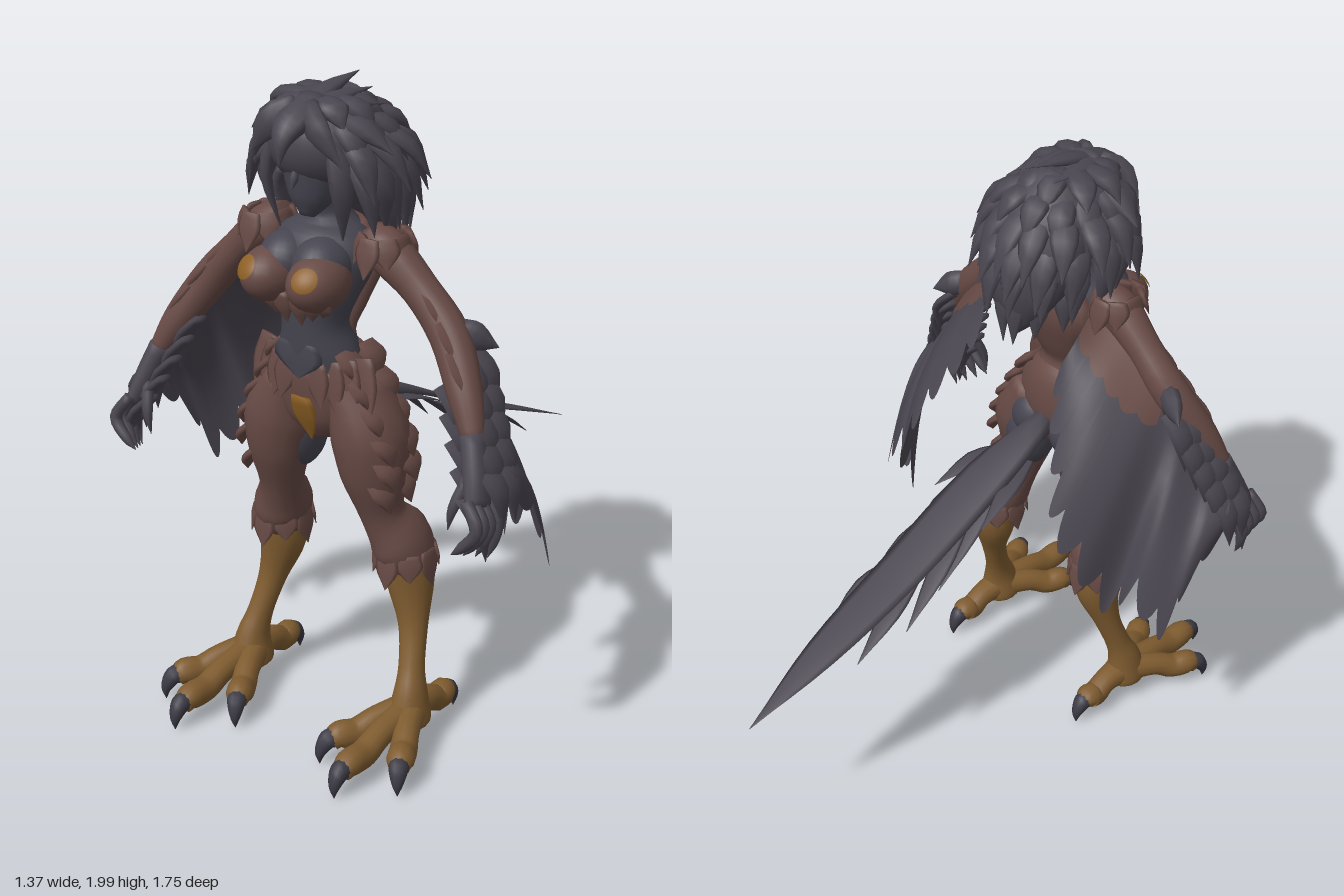
import * as THREE from 'three';
import { mergeGeometries } from 'three/addons/utils/BufferGeometryUtils.js';

const V = (x, y, z) => new THREE.Vector3(x, y, z);
const X = V(1, 0, 0);
const mat = (name, color, side = THREE.FrontSide) => new THREE.MeshStandardMaterial({ name, color, side });

// Smooth closed body through elliptical sections [x, y, z, a, b]; a lies along `side`
function sweep(pts, side = X, segs = 16, sub = 4) {
  const cen = new THREE.CatmullRomCurve3(pts.map(p => V(p[0], p[1], p[2])), false, 'catmullrom');
  const rad = new THREE.CatmullRomCurve3(pts.map(p => V(p[3], p[4] ?? p[3], 0)), false, 'catmullrom');
  const n = (pts.length - 1) * sub, pos = [], idx = [];
  for (let i = 0; i <= n; i++) {
    const c = cen.getPoint(i / n), r = rad.getPoint(i / n), T = cen.getTangent(i / n);
    const S = side.clone().addScaledVector(T, -side.dot(T)).normalize();
    const N = T.clone().cross(S);
    for (let j = 0; j < segs; j++) {
      const q = j / segs * Math.PI * 2;
      pos.push(...c.clone().addScaledVector(S, Math.max(r.x, 0.001) * Math.cos(q))
        .addScaledVector(N, Math.max(r.y, 0.001) * Math.sin(q)).toArray());
    }
  }
  pos.push(...cen.getPoint(0).toArray(), ...cen.getPoint(1).toArray());
  const c0 = (n + 1) * segs;
  for (let j = 0; j < segs; j++) {
    const k = (j + 1) % segs;
    for (let i = 0; i < n; i++) {
      const a = i * segs + j, b = i * segs + k;
      idx.push(a, b, a + segs, b, b + segs, a + segs);
    }
    idx.push(c0, k, j, c0 + 1, n * segs + j, n * segs + k);
  }
  const g = new THREE.BufferGeometry();
  g.setAttribute('position', new THREE.Float32BufferAttribute(pos, 3));
  g.setIndex(idx);
  g.computeVertexNormals();
  return g;
}

// Pointed feather from base to tip, bowed by an offset at its middle
function feather(base, tip, w, side = X, thick = 0.008, bow = V(0, 0, 0)) {
  const m = base.clone().lerp(tip, 0.45).add(bow);
  return sweep([[...base.toArray(), w * 0.8, thick], [...m.toArray(), w, thick], [...tip.toArray(), 0, 0]], side, 8, 3);
}

// Ring of feathers hanging from an ellipse
function fringe(cx, cy, cz, rx, rz, len, n, flare, w, thick) {
  return Array.from({ length: n }, (_, i) => {
    const q = i / n * Math.PI * 2, c = Math.cos(q), s = Math.sin(q), l = len * (i % 2 ? 0.75 : 1);
    return feather(V(cx + rx * c, cy, cz + rz * s), V(cx + (rx + flare) * c, cy - l, cz + (rz + flare) * s),
      w, V(-s * rz, 0, c * rx).normalize(), thick);
  });
}

function ball(x, y, z, rx, ry, rz) {
  return new THREE.SphereGeometry(1, 24, 16).scale(rx, ry, rz).translate(x, y, z);
}

// Curved sheet between two guide curves; edge(u) sets how far each column reaches
function sheet(A, B, u0, u1, edge, lift, cols, rows = 10) {
  const pos = [], idx = [], out = V(Math.sign(A.points[0].x) * 0.6, 0.4, -0.6);
  for (let i = 0; i <= cols; i++) for (let j = 0; j <= rows; j++) {
    const f = i / cols, u = u0 + (u1 - u0) * f, v = j / rows * edge(f);
    const p = A.getPoint(u).lerp(B.getPoint(u), v).addScaledVector(out, 0.05 * Math.sin(Math.PI * Math.min(v, 1)) + lift);
    pos.push(p.x, p.y, p.z);
    if (i < cols && j < rows) {
      const a = i * (rows + 1) + j, b = a + rows + 1;
      idx.push(a, b, a + 1, b, b + 1, a + 1);
    }
  }
  const g = new THREE.BufferGeometry();
  g.setAttribute('position', new THREE.Float32BufferAttribute(pos, 3));
  g.setIndex(idx);
  g.computeVertexNormals();
  return g;
}

export function createModel() {
  const model = new THREE.Group();
  model.name = 'birdCreature';
  const plume = mat('darkPlumage', 0x4a4650), wingMat = mat('wingPlumage', 0x4a4650, THREE.DoubleSide);
  const skin = mat('greySkin', 0x464550), brown = mat('brownDown', 0x674a45);
  const covert = mat('brownCoverts', 0x674a45, THREE.DoubleSide);
  const gold = mat('ochreSkin', 0x7f5c30), amber = mat('amberPatch', 0x8c5f24), claw = mat('clawGrey', 0x3c3a45);
  const add = (name, m, geos) => {
    const list = [].concat(geos).map(g => { g.deleteAttribute('uv'); return g; });
    const mesh = new THREE.Mesh(mergeGeometries(list), m);
    mesh.name = name;
    model.add(mesh);
  };

  // Torso, neck and head
  add('chestAndWaist', skin, sweep([[0, 1.16, 0.49, 0.15, 0.1], [0, 1.24, 0.51, 0.125, 0.1], [0, 1.32, 0.52, 0.1, 0.095],
    [0, 1.41, 0.51, 0.13, 0.11], [0, 1.5, 0.48, 0.16, 0.125], [0, 1.57, 0.46, 0.14, 0.11], [0, 1.63, 0.46, 0.065, 0.065], [0, 1.72, 0.49, 0.055, 0.055]]));
  add('pelvis', brown, sweep([[0, 0.96, 0.48, 0.06, 0.07], [0, 1.03, 0.48, 0.15, 0.105], [0, 1.12, 0.48, 0.18, 0.118], [0, 1.2, 0.49, 0.157, 0.112], [0, 1.23, 0.5, 0.11, 0.08]]));
  add('backDown', brown, sweep([[0, 1.6, 0.42, 0.1, 0.05], [0, 1.5, 0.4, 0.155, 0.065], [0, 1.38, 0.43, 0.12, 0.06], [0, 1.28, 0.46, 0.09, 0.05], [0, 1.18, 0.44, 0.12, 0.06]]));
  add('face', skin, sweep([[0, 1.63, 0.545, 0.02, 0.02], [0, 1.68, 0.53, 0.065, 0.06], [0, 1.76, 0.51, 0.09, 0.09], [0, 1.86, 0.5, 0.09, 0.09]]));
  add('nose', skin, feather(V(0, 1.77, 0.59), V(0, 1.72, 0.615), 0.012, X, 0.012));
  add('waistPoint', skin, feather(V(0, 1.27, 0.602), V(0, 1.16, 0.605), 0.085, X, 0.006));
  add('loinShield', amber, feather(V(0, 1.1, 0.598), V(0, 0.95, 0.55), 0.045, X, 0.012));

  // Swept mane: a core volume with rows of long ragged locks
  add('maneCore', plume, [ball(0, 1.835, 0.46, 0.165, 0.14, 0.16),
    sweep([[0, 1.92, 0.44, 0.1, 0.1], [0, 1.8, 0.36, 0.18, 0.14], [0, 1.66, 0.28, 0.16, 0.11], [0, 1.54, 0.25, 0.09, 0.06], [0, 1.46, 0.24, 0.01, 0.01]])]);
  const locks = [];
  const rows = [[1.95, 1.87, 0.05, 0.18, 0.9, 8, 2.4], [1.91, 1.79, 0.1, 0.23, 0.88, 10, 2.1], [1.87, 1.7, 0.13, 0.255, 0.96, 11, 2.0],
    [1.81, 1.62, 0.145, 0.24, 1, 10, 1.9], [1.74, 1.54, 0.15, 0.2, 1, 8, 1.5], [1.66, 1.46, 0.11, 0.13, 1, 6, 1.0]];
  rows.forEach(([y0, y1, r0, r1, depth, n, span], k) => {
    for (let i = 0; i < n; i++) {
      const q = (i / (n - 1) * 2 - 1) * span, s = Math.sin(q), c = Math.cos(q);
      const jit = Math.sin(i * 7.3 + k * 2.9) * 0.03, back = Math.max(c, 0) * (0.01 + k * 0.018);
      locks.push(feather(V(s * r0, y0, 0.46 - c * r0 - back), V(s * (r1 + jit), y1 + jit, 0.43 - c * r1 * depth - back),
        0.042, V(c, 0, s), 0.02, V(s * 0.025, 0.02, -c * 0.025)));
    }
  });
  for (let i = -2; i <= 2; i++)
    locks.push(feather(V(i * 0.035, 1.935, 0.56), V(i * 0.06, 1.995 - Math.abs(i) * 0.035, 0.3 + Math.abs(i) * 0.02), 0.035, X, 0.018, V(0, 0.01, 0)));
  for (const s of [-1, 1]) {
    locks.push(feather(V(s * 0.1, 1.87, 0.55), V(s * 0.11, 1.57, 0.53), 0.035, V(0.6, 0, -s * 0.8), 0.018, V(s * 0.03, 0, 0.02)));
    locks.push(feather(V(s * 0.14, 1.85, 0.5), V(s * 0.2, 1.6, 0.45), 0.045, V(0.4, 0, -s), 0.025, V(s * 0.04, 0, 0)));
    locks.push(feather(V(s * 0.02, 1.94, 0.55), V(s * 0.16, 1.8, 0.59), 0.045, V(s * 0.4, 1, 0), 0.025, V(0, 0.02, 0.03)));
    locks.push(feather(V(s * 0.09, 1.91, 0.5), V(s * 0.25, 1.83, 0.48), 0.05, V(0, 0, 1), 0.025, V(0, 0.015, 0)));
  }
  add('maneLocks', plume, locks);
  add('hookedForelock', plume, sweep([[0, 1.95, 0.5, 0.06, 0.03], [0, 1.91, 0.6, 0.055, 0.035], [0, 1.865, 0.65, 0.03, 0.022], [0, 1.8, 0.663, 0.002, 0.002]], X, 10));

  // Tail: a long central blade with staggered drooping barbs
  const blade = [[0, 1.06, 0.38, 0.04, 0.04], [0, 0.97, 0.12, 0.085, 0.014], [0, 0.79, -0.25, 0.085, 0.006], [0, 0.65, -0.58, 0.062, 0.005], [0, 0.52, -0.87, 0, 0]];
  const barbs = [[0.135, 0.91, 0.02, 0.99, 0.25], [0.11, 0.74, -0.14, 0.95, 0.1], [0.125, 0.67, -0.29, 0.87, -0.04], [0.1, 0.63, -0.47, 0.78, -0.24]];
  add('tail', plume, [sweep(blade, X, 8), ...barbs.flatMap(([x, y, z, y0, z0]) => [-1, 1].map(s =>
    feather(V(s * 0.045, y0, z0), V(s * x, y, z - (s < 0 ? 0.05 : 0)), 0.036, X, 0.004, V(s * 0.008, 0.015, 0))))]);

  for (const s of [-1, 1]) {
    const side = s > 0 ? 'left' : 'right';
    const P = pts => pts.map(([x, ...r]) => [s * x, ...r]);
    const W = (x, y, z) => V(s * x, y, z);
    const crv = pts => new THREE.CatmullRomCurve3(pts.map(p => W(...p)));

    // Breast with grey upper slope, amber patch and ragged lower edge
    add(side + 'UpperBreast', skin, ball(s * 0.06, 1.5, 0.555, 0.085, 0.085, 0.1));
    add(side + 'Breast', brown, [ball(s * 0.083, 1.467, 0.605, 0.083, 0.082, 0.108),
      ...[0.03, 0.075, 0.12].map((x, i) => feather(W(x, 1.43, 0.64), W(x * 0.85, 1.33 + i * 0.02, 0.615), 0.032, X, 0.014))]);
    add(side + 'BreastPatch', amber, new THREE.SphereGeometry(1, 20, 6, 0, Math.PI * 2, 0, 0.42)
      .rotateX(1.12).rotateY(s * 0.28).scale(0.091, 0.086, 0.113).translate(s * 0.083, 1.467, 0.605));

    // Grey rump and inner thigh, feathered outer thigh
    add(side + 'RumpAndInnerThigh', skin, [ball(s * 0.085, 1.03, 0.44, 0.09, 0.095, 0.092), ball(s * 0.122, 0.94, 0.45, 0.078, 0.14, 0.1)]);
    add(side + 'Thigh', brown, sweep(P([[0.11, 1.13, 0.48, 0.08, 0.1], [0.16, 0.99, 0.48, 0.115, 0.12], [0.175, 0.87, 0.485, 0.098, 0.1],
      [0.19, 0.74, 0.465, 0.068, 0.07], [0.222, 0.65, 0.425, 0.085, 0.1], [0.238, 0.58, 0.405, 0.084, 0.094]])));
    const tufts = fringe(s * 0.235, 0.62, 0.41, 0.08, 0.09, 0.11, 8, 0.016, 0.04, 0.007);
    for (let i = 0; i < 6; i++) {
      const y = 1.24 - i * 0.075, x = [0.105, 0.15, 0.19, 0.22, 0.23, 0.21][i];
      for (const z of [0.43, 0.53])
        tufts.push(feather(W(x, y, z), W(x + 0.06, y - 0.09, z), 0.05, V(0, 0, 1), 0.014, W(0.014, 0.004, 0)));
    }
    for (let i = 0; i < 4; i++)
      tufts.push(feather(W(0.05 + i * 0.04, 1.21 + i * 0.008, 0.587 - i * 0.022), W(0.075 + i * 0.045, 1.08 - i * 0.015, 0.6 - i * 0.015), 0.04, X, 0.008));
    add(side + 'LegDown', brown, tufts);

    // Scaly shin and four clawed toes
    const foot = [sweep(P([[0.24, 0.61, 0.405, 0.07, 0.08], [0.245, 0.5, 0.4, 0.073, 0.075], [0.272, 0.37, 0.425, 0.047, 0.045],
      [0.295, 0.25, 0.465, 0.04, 0.042], [0.308, 0.17, 0.49, 0.05, 0.06], [0.308, 0.09, 0.5, 0.065, 0.075], [0.308, 0.065, 0.5, 0.04, 0.04]]))];
    const claws = [];
    for (const [dx, dz] of [[0, 0.35], [-0.125, 0.24], [0.125, 0.24], [0, -0.18]]) {
      const at = (t, y, r) => [0.308 + dx * t, y, 0.48 + dz * t, r];
      const sd = V(dz, 0, -s * dx).normalize(), e = 0.035 / Math.hypot(dx, dz);
      foot.push(sweep(P([at(0, 0.12, 0.05), at(0.45, 0.11, 0.04), at(0.7, 0.085, 0.042), at(0.9, 0.09, 0.042), at(1, 0.075, 0.03)]), sd, 12));
      claws.push(sweep(P([at(0.93, 0.085, 0.03), at(1 + e * 0.3, 0.085, 0.03), at(1 + e, 0.05, 0.018), at(1 + e * 1.1, 0.01, 0.001)]), sd, 10));
    }
    add(side + 'ShinAndToes', gold, foot);
    add(side + 'FootClaws', claw, claws);

    // Arm with shoulder down
    add(side + 'Arm', brown, [sweep(P([[0.15, 1.57, 0.45, 0.055], [0.22, 1.54, 0.46, 0.065], [0.325, 1.455, 0.46, 0.054], [0.43, 1.345, 0.47, 0.058],
      [0.52, 1.21, 0.525, 0.05], [0.58, 1.1, 0.57, 0.03]]), V(0, 0, 1)),
      ...fringe(s * 0.21, 1.6, 0.465, 0.052, 0.075, 0.11, 8, 0.03, 0.04, 0.01),
      ...[0.36, 0.42, 0.47].map((x, i) => feather(W(x, 1.46 - i * 0.07, 0.47 + i * 0.02), W(x + 0.11, 1.34 - i * 0.08, 0.48 + i * 0.03), 0.045, V(0, 0, 1), 0.014))]);
    // Dark feathers sheathing the outer forearm, with an elbow spur
    const down = [feather(W(0.44, 1.36, 0.45), W(0.54, 1.31, 0.39), 0.045, V(0, 1, 0), 0.03)];
    for (let i = 0; i < 5; i++) for (const z of [-0.06, 0, 0.045]) {
      const x = 0.47 + i * 0.033 - Math.max(z, 0) * 0.6, y = 1.31 - i * 0.065 - Math.max(z, 0) * 2, zc = 0.485 + i * 0.022 + z;
      down.push(feather(W(x, y, zc), W(x + 0.08, y - 0.18, zc), 0.045, V(0, 0, 1), 0.014, W(0.03, 0.01, 0)));
    }
    // Hand with long dark fingers
    down.push(sweep(P([[0.57, 1.12, 0.565, 0.035], [0.605, 1.02, 0.595, 0.045, 0.035], [0.63, 0.94, 0.62, 0.05, 0.028]]), V(0, 0, 1), 12));
    for (let i = 0; i < 4; i++)
      down.push(sweep(P([[0.62, 0.97, 0.585 + i * 0.026, 0.018], [0.665, 0.9, 0.585 + i * 0.032, 0.019], [0.665 - i * 0.015, 0.84, 0.59 + i * 0.032, 0.015],
        [0.645 - i * 0.02, 0.78 + i * 0.01, 0.595 + i * 0.03, 0.001]]), V(0, 0, 1), 8));
    down.push(sweep(P([[0.59, 1.01, 0.61, 0.02], [0.565, 0.93, 0.645, 0.016], [0.55, 0.86, 0.65, 0.001]]), V(0, 0, 1), 8));
    add(side + 'ForearmAndHand', plume, down);

    // Wing: scalloped sheet fanned back and down from the arm
    const A = crv([[0.15, 1.54, 0.42], [0.3, 1.455, 0.43], [0.43, 1.33, 0.45], [0.53, 1.19, 0.51], [0.62, 1.04, 0.565]]);
    const B = crv([[0.16, 1.38, 0.25], [0.2, 1.25, 0.19], [0.27, 1.11, 0.13], [0.33, 0.95, 0.075], [0.41, 0.8, 0.11],
      [0.455, 0.62, 0.21], [0.54, 0.72, 0.22], [0.635, 0.6, 0.25], [0.66, 0.78, 0.35], [0.665, 0.92, 0.5]]);
    const scallop = (n, d) => f => 1 - d * Math.pow(Math.abs(2 * ((f * n) % 1) - 1), 1.8);
    add(side + 'Wing', wingMat, sheet(A, B, 0, 1, scallop(12, 0.16), 0, 96));
    add(side + 'WingCoverts', covert, sheet(A, B, 0, 0.5, f => (0.46 - 0.32 * f) * scallop(5, 0.16)(f), 0.008, 40));
  }
  return model;
}
